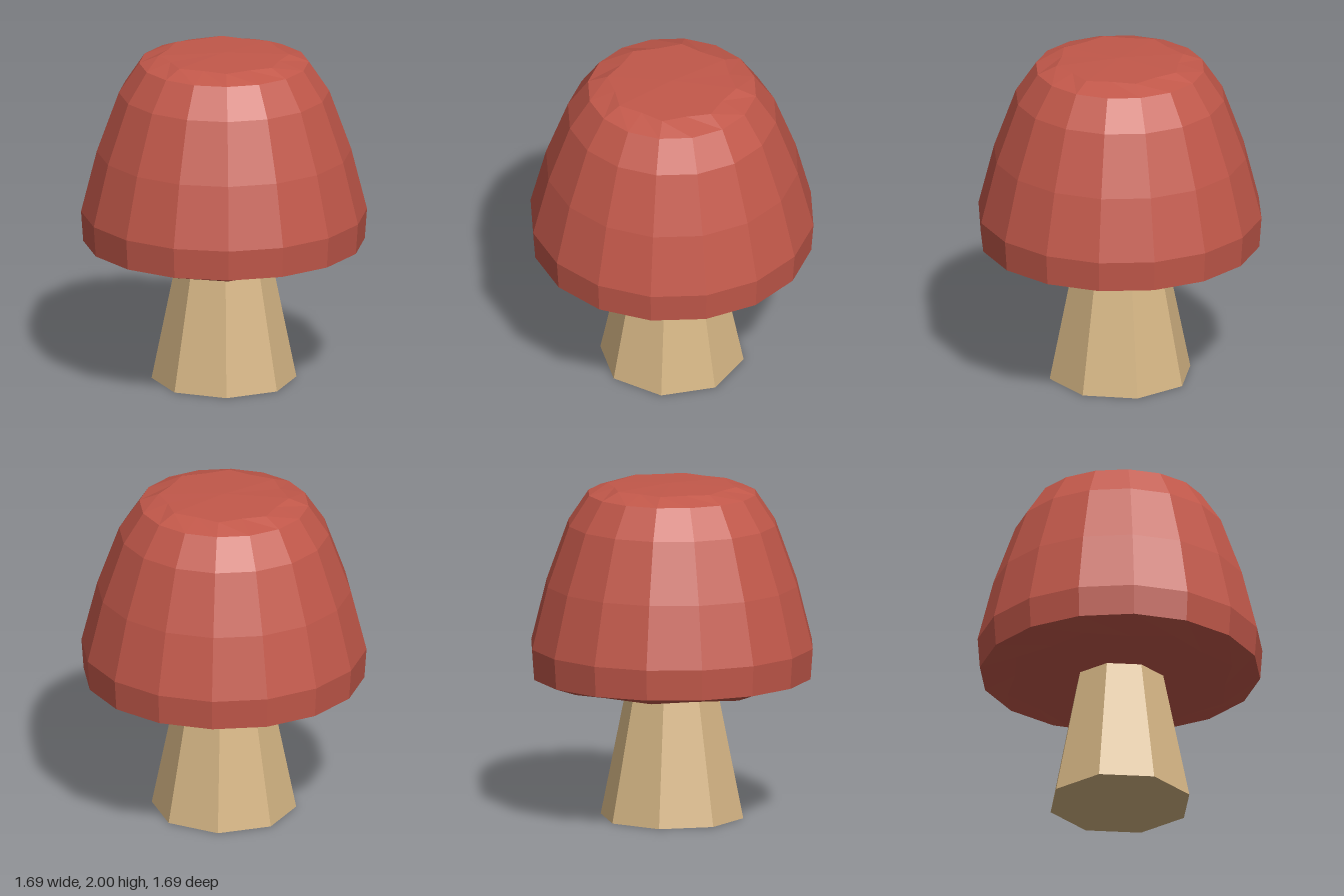
import * as THREE from 'three';

const SIDES = 16;

// Faceted cap: a closed lathe whose crown and underside rings pull in at every other corner
function makeCap() {
  const profile = [
    [0, 0.79], [0.69, 0.8], [0.83, 0.848], [0.843, 1.03], [0.75, 1.4],
    [0.62, 1.76], [0.5, 1.94], [0.385, 1.985], [0, 2],
  ].map(([r, y]) => new THREE.Vector2(r, y));
  const geometry = new THREE.LatheGeometry(profile, SIDES);
  const pos = geometry.attributes.position;
  for (let i = 1; i <= SIDES; i += 2) {
    for (const ring of [1, profile.length - 2]) {
      const k = i * profile.length + ring;
      pos.setX(k, pos.getX(k) * 0.9);
      pos.setZ(k, pos.getZ(k) * 0.9);
    }
  }
  const flat = geometry.toNonIndexed();
  flat.computeVertexNormals();
  return flat;
}

function makePart(name, geometry, color) {
  const material = new THREE.MeshStandardMaterial({ color, flatShading: true });
  const mesh = new THREE.Mesh(geometry, material);
  mesh.name = name;
  return mesh;
}

export function createModel() {
  const group = new THREE.Group();
  group.name = 'mushroom';

  // Tapered eight-sided stem, ending just inside the cap
  const stem = makePart('stem', new THREE.CylinderGeometry(0.257, 0.427, 0.84, 8), 0xd6b685);
  stem.position.y = 0.42;

  const cap = makePart('cap', makeCap(), 0xc2584a);

  group.add(stem, cap);
  return group;
}
